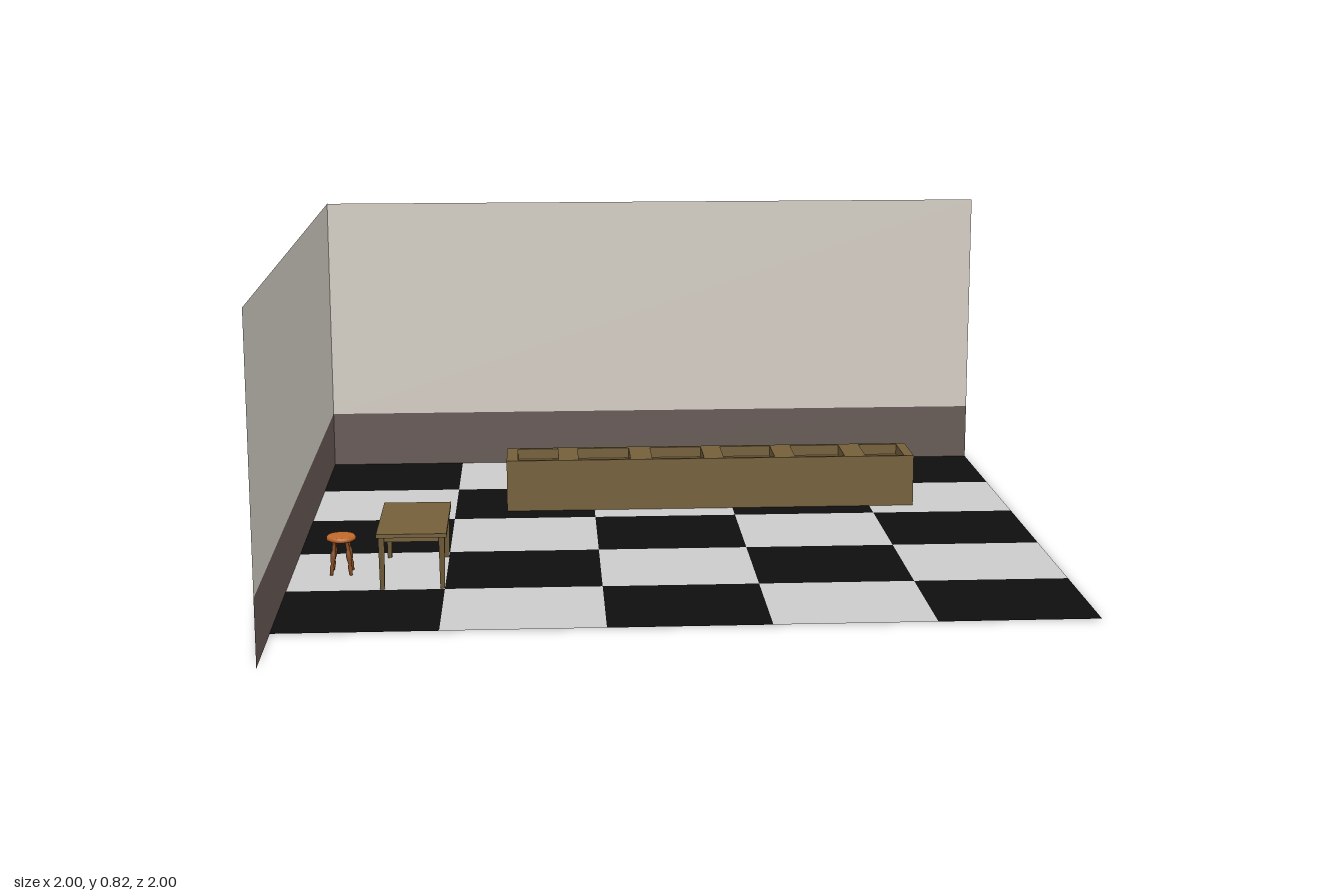
import * as THREE from 'three';

const mat = (color, side = THREE.FrontSide) =>
  new THREE.MeshStandardMaterial({ color, side });

function add(parent, name, geometry, material, x = 0, y = 0, z = 0) {
  const mesh = new THREE.Mesh(geometry, material);
  mesh.name = name;
  mesh.position.set(x, y, z);
  parent.add(mesh);
  return mesh;
}

function makeGroup(parent, name, x = 0, y = 0, z = 0) {
  const group = new THREE.Group();
  group.name = name;
  group.position.set(x, y, z);
  parent.add(group);
  return group;
}

// Checkerboard floor, five tiles each way
function addFloor(room) {
  const floor = makeGroup(room, 'floor');
  const dark = mat(0x0e0e0e, THREE.DoubleSide);
  const light = mat(0xcccccc, THREE.DoubleSide);
  const w = 0.4, d = 0.348, z0 = -0.99;
  const tile = new THREE.PlaneGeometry(w, d).rotateX(-Math.PI / 2);
  for (let i = 0; i < 5; i++) {
    for (let j = 0; j < 5; j++) {
      add(floor, 'floorTile', tile, (i + j) % 2 ? light : dark,
        -1 + (i + 0.5) * w, 0.002, z0 + (j + 0.5) * d);
    }
  }
}

// Two thin walls, each with a dark lower band
function addWalls(room) {
  const plaster = mat(0xd2ccc3, THREE.DoubleSide);
  const band = mat(0x655854, THREE.DoubleSide);
  const bandH = 0.165, wallH = 0.825;
  const placements = [['backWall', 0, -0.99, 0], ['sideWall', -1, 0, Math.PI / 2]];
  for (const [name, x, z, turn] of placements) {
    const wall = makeGroup(room, name, x, 0, z);
    wall.rotation.y = turn;
    add(wall, 'wallBand', new THREE.PlaneGeometry(2, bandH), band, 0, bandH / 2, 0);
    add(wall, 'wallPlaster', new THREE.PlaneGeometry(2, wallH - bandH), plaster,
      0, (wallH + bandH) / 2, 0);
  }
}

function rectangle(target, x0, x1, z0, z1) {
  target.moveTo(x0, z0);
  target.lineTo(x1, z0);
  target.lineTo(x1, z1);
  target.lineTo(x0, z1);
  target.closePath();
  return target;
}

// Long counter with a row of sunken bays in its top
function addCounter(room, wood) {
  const counter = makeGroup(room, 'counter');
  const x0 = -0.452, x1 = 0.728, z0 = -0.54, z1 = -0.375;
  const top = 0.15, depth = 0.03;
  const rim = rectangle(new THREE.Shape(), x0, x1, z0, z1);
  const bays = [[-0.42, -0.303], [-0.245, -0.095], [-0.032, 0.118],
    [0.175, 0.323], [0.383, 0.527], [0.588, 0.7]];
  for (const [a, b] of bays) {
    rim.holes.push(rectangle(new THREE.Path(), a, b, z0 + 0.014, z1 - 0.01));
  }
  const rimGeometry = new THREE.ExtrudeGeometry(rim, { depth, bevelEnabled: false })
    .rotateX(Math.PI / 2);
  add(counter, 'counterRim', rimGeometry, wood, 0, top, 0);
  add(counter, 'counterBody', new THREE.BoxGeometry(x1 - x0, top - depth, z1 - z0),
    wood, (x0 + x1) / 2, (top - depth) / 2, (z0 + z1) / 2);
}

// Table with four legs and an apron under the top
function addTable(room, wood) {
  const table = makeGroup(room, 'table', -0.682, 0, 0.243);
  const lx = 0.076, lz = 0.147;
  add(table, 'tableTop', new THREE.BoxGeometry(0.177, 0.01, 0.325), wood, 0, 0.143, 0);
  const leg = new THREE.CylinderGeometry(0.011, 0.008, 0.138, 4, 1).rotateY(Math.PI / 4);
  for (const sx of [-1, 1]) {
    for (const sz of [-1, 1]) add(table, 'tableLeg', leg, wood, sx * lx, 0.069, sz * lz);
    add(table, 'sideApron', new THREE.BoxGeometry(0.008, 0.013, lz * 2), wood, sx * lx, 0.1315, 0);
    add(table, 'endApron', new THREE.BoxGeometry(lx * 2, 0.013, 0.008), wood, 0, 0.1315, sx * lz);
  }
}

// Round stool on four splayed, turned legs
function addStool(room) {
  const stool = makeGroup(room, 'stool', -0.873, 0, 0.235);
  const profile = (points) => points.map(([r, y]) => new THREE.Vector2(r, y));
  const seat = new THREE.LatheGeometry(profile([[0, 0.089], [0.033, 0.089],
    [0.038, 0.093], [0.038, 0.099], [0.034, 0.103], [0, 0.103]]), 24);
  add(stool, 'stoolSeat', seat, mat(0xc0692a));
  const leg = new THREE.LatheGeometry(profile([[0, 0], [0.004, 0], [0.006, 0.02],
    [0.004, 0.03], [0.007, 0.045], [0.007, 0.06], [0.004, 0.068], [0.006, 0.091]]), 10);
  const legWood = mat(0x80481f);
  for (let i = 0; i < 4; i++) {
    const a = Math.PI / 4 + i * Math.PI / 2;
    const mesh = add(stool, 'stoolLeg', leg, legWood,
      Math.cos(a) * 0.036, 0.001, Math.sin(a) * 0.036);
    mesh.rotation.set(-Math.sin(a) * 0.15, 0, Math.cos(a) * 0.15);
  }
}

export function createModel() {
  const room = new THREE.Group();
  room.name = 'room';
  const wood = mat(0x745f3a);
  addFloor(room);
  addWalls(room);
  addCounter(room, wood);
  addTable(room, wood);
  addStool(room);
  return room;
}
